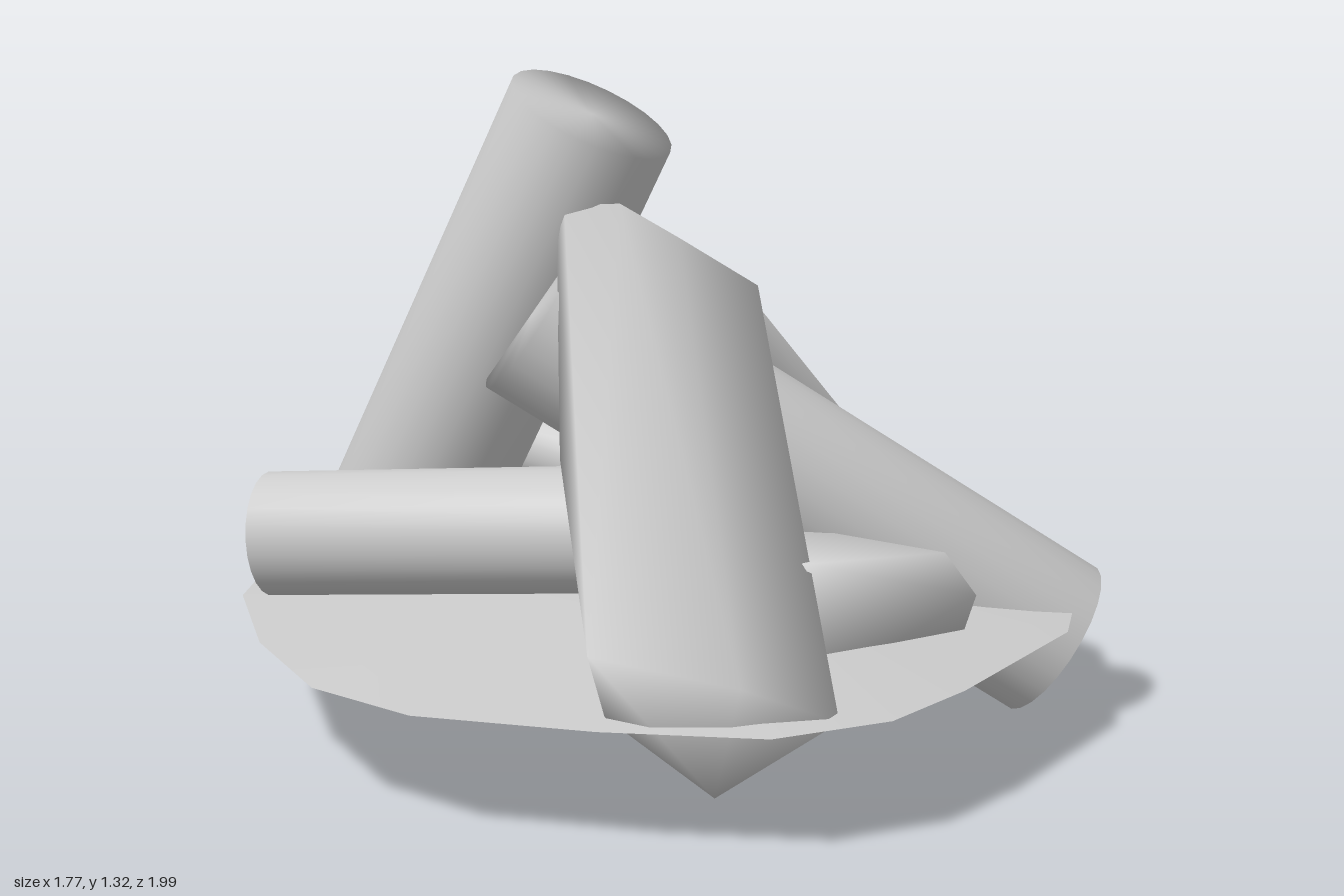
import * as THREE from 'three';
import { ConvexGeometry } from 'three/addons/geometries/ConvexGeometry.js';
import { mergeVertices } from 'three/addons/utils/BufferGeometryUtils.js';

const V = (p) => new THREE.Vector3(...p);

export function createModel() {
  const group = new THREE.Group();
  const material = new THREE.MeshStandardMaterial({ color: 0xcccccc, side: THREE.DoubleSide });

  // Weld the corners so every part shades smoothly
  function add(name, geometry) {
    geometry.deleteAttribute('normal');
    geometry.deleteAttribute('uv');
    const welded = mergeVertices(geometry, 1e-4);
    welded.computeVertexNormals();
    const mesh = new THREE.Mesh(welded, material);
    mesh.name = name;
    group.add(mesh);
    return mesh;
  }

  // Round log running between two end centres
  function roundLog(name, from, to, radius) {
    const a = V(from), b = V(to);
    const axis = b.clone().sub(a);
    const mesh = add(name, new THREE.CylinderGeometry(radius, radius, axis.length(), 24));
    mesh.position.copy(a).add(b).multiplyScalar(0.5);
    mesh.quaternion.setFromUnitVectors(new THREE.Vector3(0, 1, 0), axis.normalize());
  }

  // Split log: solid between the corners of its cross-sections
  function splitLog(name, ...sections) {
    add(name, new ConvexGeometry(sections.flat().map(V)));
  }

  // Ash bed: irregular low mound, built as rings shrinking to the centre
  const rim = [
    [-0.05, -0.95], [0.28, -0.94], [0.47, -0.83], [0.70, -0.63], [0.83, -0.31], [0.88, -0.08],
    [0.82, 0.40], [0.76, 0.64], [0.60, 0.83], [0.30, 0.91], [-0.05, 0.95], [-0.30, 0.86],
    [-0.55, 0.62], [-0.77, 0.31], [-0.88, -0.03], [-0.80, -0.39], [-0.62, -0.77], [-0.47, -0.88],
  ];
  const rings = [[1, 0.24], [0.7, 0.275], [0.35, 0.31], [0, 0.33]];
  const n = rim.length, positions = [], index = [];
  rings.forEach(([s, y]) => rim.forEach(([x, z]) => positions.push(x * s, y, z * s)));
  for (let r = 0; r < rings.length - 1; r++) {
    for (let i = 0; i < n; i++) {
      const a = r * n + i, b = r * n + (i + 1) % n;
      index.push(a, a + n, b, b, a + n, b + n);
    }
  }
  const bed = new THREE.BufferGeometry();
  bed.setAttribute('position', new THREE.Float32BufferAttribute(positions, 3));
  bed.setIndex(index);
  add('ashBed', bed);

  // Leaning round logs
  roundLog('tallLog', [-0.695, 0.085, -0.03], [-0.093, 1.24, 0.045], 0.175);
  roundLog('leaningLog', [-0.17, 0.845, 0.17], [0.77, 0.15, -0.355], 0.172);

  // Round logs lying low around the pile
  roundLog('frontLog', [-0.633, 0.408, 0.42], [0.25, 0.48, 0.33], 0.125);
  roundLog('backLog', [-0.345, 0.385, -0.87], [-0.46, 0.3, -0.13], 0.125);
  roundLog('thinLog', [-0.53, 0.53, -0.235], [0.1, 0.42, -0.15], 0.08);

  // Split logs propped against the pile
  splitLog('frontSplitLog',
    [[-0.1, 1.07, 0.165], [0.01, 1.075, 0.14], [0.1, 1.0, 0.05], [0.21, 0.89, -0.1], [0.06, 0.78, -0.08], [-0.1, 0.99, 0.2]],
    [[0.02, 0.62, 0.45]],
    [[0.32, 0.40, 0.99], [0.55, 0.33, 0.85], [0.67, 0.235, 0.67], [0.45, 0.08, 0.72], [0.29, 0.25, 0.85]]);
  splitLog('backSplitLog',
    [[-0.29, 0.93, -0.18], [0.16, 0.91, -0.09], [0.2, 0.76, 0], [-0.22, 0.76, -0.03]],
    [[0.02, 0.255, -1.0], [0.38, 0.25, -0.79], [0.42, 0.17, -0.66], [0.08, 0.08, -0.82]]);

  // Flat split log lying on the bed, with a worn corner
  splitLog('flatSplitLog',
    [[0.73, 0.33, 0.05], [0.69, 0.43, 0.13], [0.52, 0.46, 0.44], [0.52, 0.21, 0.42], [0.70, 0.23, 0.06]],
    [[-0.26, 0.4, -0.24], [-0.43, 0.4, 0.1], [-0.47, 0.19, 0.1], [-0.3, 0.19, -0.24]]);

  return group;
}
